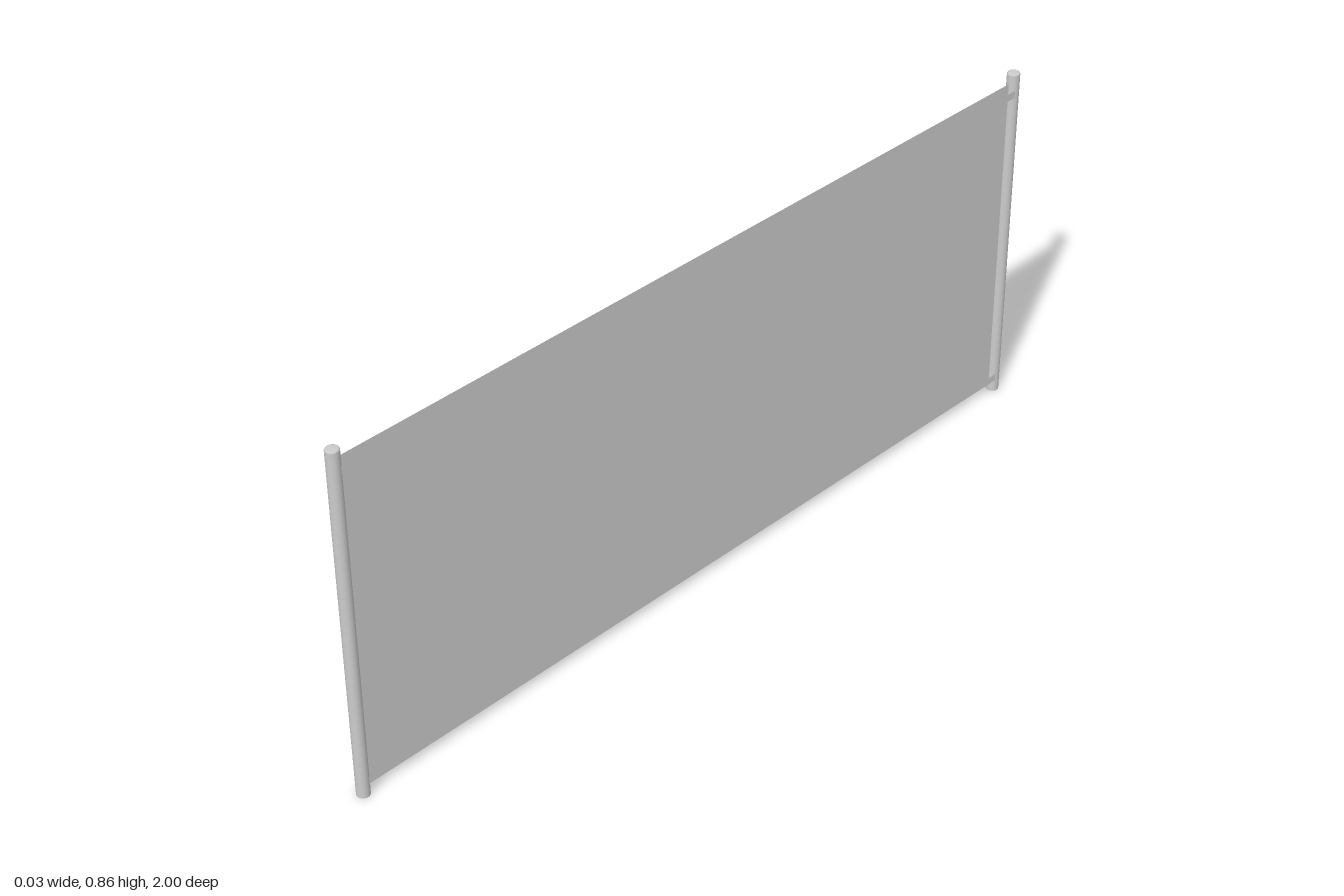
import * as THREE from 'three';

const material = new THREE.MeshStandardMaterial({ color: 0xcccccc });
const sheetMaterial = new THREE.MeshStandardMaterial({ color: 0xcccccc, side: THREE.DoubleSide });

const RADIUS = 0.015;
const HEIGHT = 0.855;
const POST_Z = 0.985;

// Vertical sheet facing +x, spanning y0..y1 and centred on z = 0
function makeSheet(name, x, y0, y1, length) {
  const geometry = new THREE.PlaneGeometry(length, y1 - y0);
  geometry.rotateY(Math.PI / 2);
  const mesh = new THREE.Mesh(geometry, sheetMaterial);
  mesh.name = name;
  mesh.position.set(x, (y0 + y1) / 2, 0);
  return mesh;
}

// Round post with a slightly bevelled top; doubled points keep the rims crisp
function makePost(name, z) {
  const bevel = 0.004;
  const profile = [
    [0, 0], [RADIUS, 0], [RADIUS, 0.0001], [RADIUS, HEIGHT - bevel],
    [RADIUS - bevel * 0.3, HEIGHT - bevel * 0.3], [RADIUS - bevel, HEIGHT], [0, HEIGHT],
  ].map(([r, y]) => new THREE.Vector2(r, y));
  const mesh = new THREE.Mesh(new THREE.LatheGeometry(profile, 24), material);
  mesh.name = name;
  mesh.position.z = z;
  return mesh;
}

export function createModel() {
  const model = new THREE.Group();
  model.name = 'panelBetweenPosts';

  // End posts
  model.add(makePost('frontPost', POST_Z), makePost('backPost', -POST_Z));

  // Thin main panel
  model.add(makeSheet('panel', 0, 0.03, 0.83, 2 * (POST_Z - RADIUS)));

  // Narrow strips in front of the panel, running into the posts
  const stripLength = 2 * (POST_Z - 0.006);
  model.add(makeSheet('topStrip', 0.013, 0.797, 0.815, stripLength));
  model.add(makeSheet('bottomStrip', 0.013, 0.03, 0.048, stripLength));

  return model;
}
